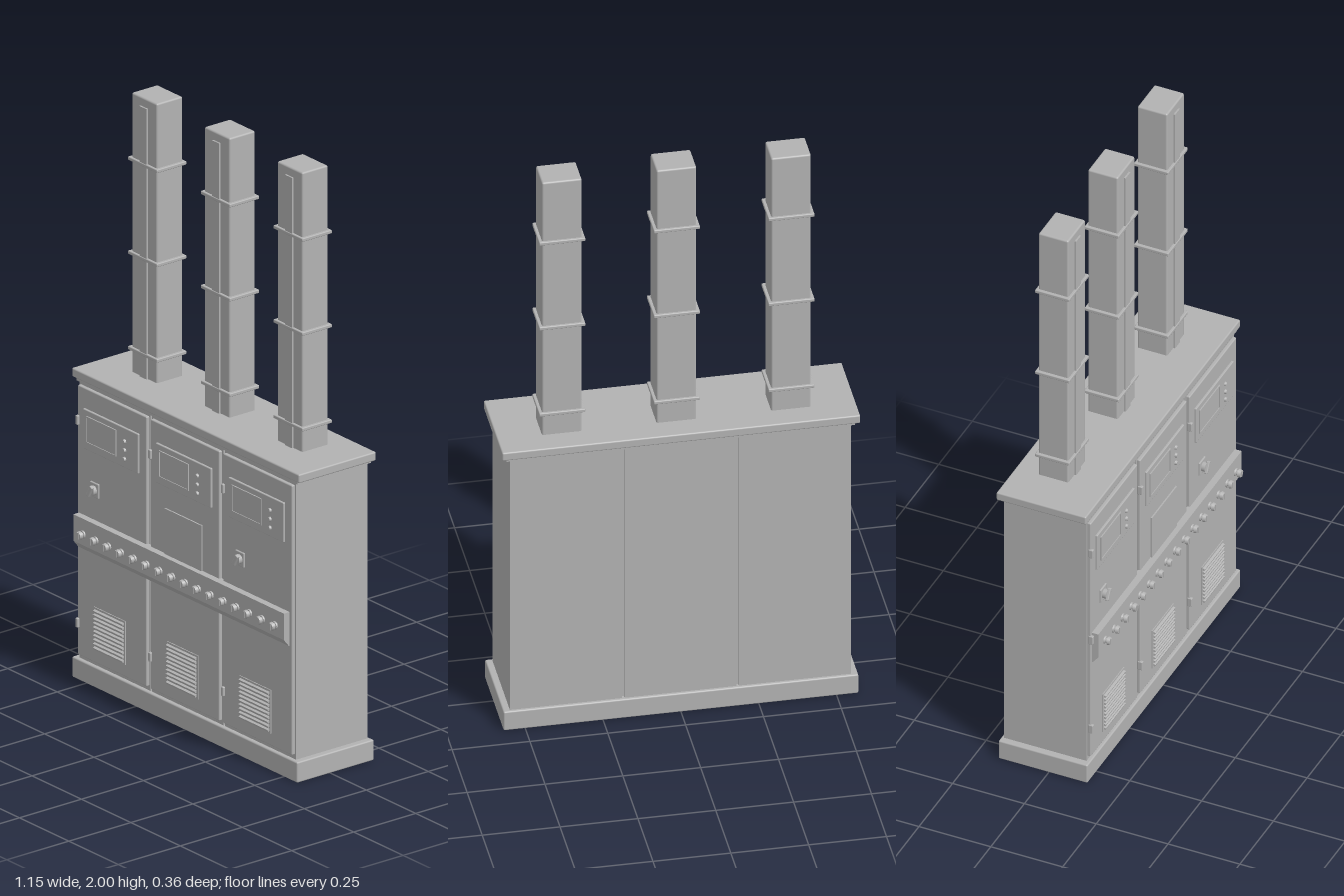
import * as THREE from 'three';
import { RoundedBoxGeometry } from 'three/addons/geometries/RoundedBoxGeometry.js';

export function createModel() {
  const model = new THREE.Group();
  const grey = new THREE.MeshStandardMaterial({ color: 0xb2b2b2 });
  grey.name = 'cabinetGrey';

  const add = (parent, name, geometry) => {
    const mesh = new THREE.Mesh(geometry, grey);
    mesh.name = name;
    parent.add(mesh);
    return mesh;
  };
  // box given by its limits; r > 0 rounds the edges
  const box = (parent, name, x0, x1, y0, y1, z0, z1, r = 0) => {
    const w = x1 - x0, h = y1 - y0, d = z1 - z0;
    const g = r ? new RoundedBoxGeometry(w, h, d, 2, r) : new THREE.BoxGeometry(w, h, d);
    const mesh = add(parent, name, g);
    mesh.position.set((x0 + x1) / 2, (y0 + y1) / 2, (z0 + z1) / 2);
    return mesh;
  };
  // cylinder whose axis points forward
  const disc = (parent, name, x, y, z0, z1, rBack, rFront = rBack) => {
    const g = new THREE.CylinderGeometry(rFront, rBack, z1 - z0, 20).rotateX(Math.PI / 2);
    const mesh = add(parent, name, g);
    mesh.position.set(x, y, (z0 + z1) / 2);
    return mesh;
  };

  // plinth, inner core and stepped lid
  box(model, 'plinth', -0.57, 0.57, 0, 0.07, -0.175, 0.135, 0.005);
  box(model, 'core', -0.54, 0.54, 0.06, 1.02, -0.155, 0.112);
  box(model, 'lidStep', -0.56, 0.56, 1.01, 1.025, -0.17, 0.125);
  box(model, 'lid', -0.575, 0.575, 1.02, 1.05, -0.18, 0.132, 0.005);

  for (let i = -1; i <= 1; i++) {
    const cx = i * 0.368;
    const bay = new THREE.Group();
    bay.name = 'cabinetBay';
    bay.position.x = cx;
    model.add(bay);

    // cabinet shell and door
    box(bay, 'cabinetShell', -0.18, 0.18, 0.07, 1.015, -0.165, 0.122);
    box(bay, 'door', -0.174, 0.174, 0.085, 1.003, 0.12, 0.134, 0.004);

    // hinges
    for (const y of [0.885, 0.545, 0.195]) {
      box(bay, 'hinge', -0.177, -0.165, y - 0.016, y + 0.016, 0.125, 0.142, 0.003);
    }

    // control panel with a framed screen and three lamps
    box(bay, 'controlPanel', -0.14, 0.14, 0.8, 0.935, 0.13, 0.141, 0.003);
    box(bay, 'screen', -0.115, 0.025, 0.828, 0.912, 0.14, 0.1425);
    for (const y of [0.825, 0.912]) box(bay, 'screenFrame', -0.12, 0.03, y, y + 0.004, 0.14, 0.145);
    for (const x of [-0.12, 0.026]) box(bay, 'screenFrame', x, x + 0.004, 0.825, 0.916, 0.14, 0.145);
    for (const y of [0.83, 0.86, 0.89]) disc(bay, 'lamp', 0.073, y, 0.14, 0.148, 0.008, 0.006);

    // louvred vent
    box(bay, 'ventPlate', -0.09, 0.07, 0.127, 0.275, 0.13, 0.137);
    for (let s = 0; s < 10; s++) {
      const slat = box(bay, 'ventSlat', -0.084, 0.064, 0.134 + s * 0.014, 0.141 + s * 0.014, 0.135, 0.144);
      slat.rotation.x = 0.35;
    }

    // rotary handle on the outer doors, wide panel on the middle one
    if (i !== 0) {
      box(bay, 'handlePlate', -0.108, -0.064, 0.648, 0.698, 0.13, 0.139, 0.003);
      disc(bay, 'handleHub', -0.086, 0.673, 0.135, 0.152, 0.016);
      const grip = box(bay, 'handleGrip', -0.093, -0.079, 0.652, 0.694, 0.148, 0.16, 0.003);
      grip.rotation.z = -0.5;
    } else {
      box(bay, 'middlePanel', -0.097, 0.09, 0.56, 0.725, 0.13, 0.139);
    }

    // square duct with cable strip and collars
    const duct = new THREE.Group();
    duct.name = 'duct';
    bay.add(duct);
    box(duct, 'ductTube', -0.064, 0.064, 1.04, 2, -0.1, 0.004, 0.006);
    box(duct, 'cableStrip', -0.018, 0.018, 1.05, 1.97, 0, 0.01);
    for (const y of [1.13, 1.455, 1.775]) {
      box(duct, 'collar', -0.074, 0.074, y - 0.006, y + 0.006, -0.108, 0.012, 0.003);
    }
  }

  // switch rail with a sloped underside
  const side = new THREE.Shape([
    [0.125, 0.455], [0.137, 0.455], [0.157, 0.48], [0.157, 0.57], [0.125, 0.57],
  ].map(([z, y]) => new THREE.Vector2(-z, y)));
  const rail = new THREE.ExtrudeGeometry(side, { depth: 1.065, bevelEnabled: false });
  rail.rotateY(Math.PI / 2);
  add(model, 'switchRail', rail).position.x = -0.535;

  // row of knobs
  for (let k = 0; k < 16; k++) {
    const x = -0.486 + k * 0.0648;
    disc(model, 'knobBase', x, 0.517, 0.155, 0.162, 0.014, 0.012);
    disc(model, 'knobNeck', x, 0.517, 0.16, 0.17, 0.009);
    disc(model, 'knobCap', x, 0.517, 0.168, 0.178, 0.014, 0.012);
    box(model, 'knobPointer', x - 0.003, x + 0.003, 0.506, 0.528, 0.177, 0.18);
  }
  return model;
}
